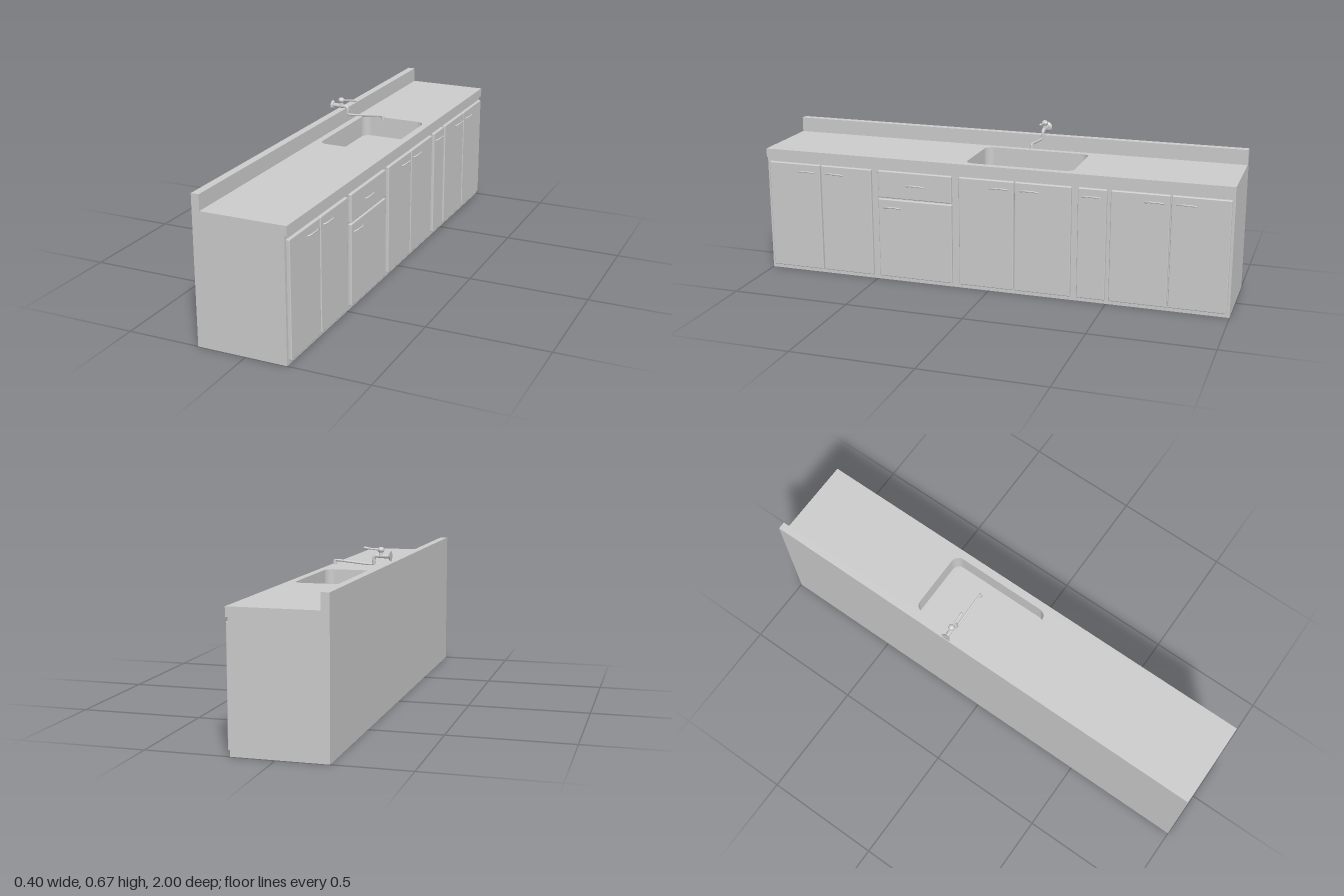
import * as THREE from 'three';
import { RoundedBoxGeometry } from 'three/addons/geometries/RoundedBoxGeometry.js';

const grey = new THREE.MeshStandardMaterial({ color: 0xcccccc });
const V = (x, y, z = 0) => new THREE.Vector3(x, y, z);

function add(parent, name, geometry, x = 0, y = 0, z = 0) {
  const mesh = new THREE.Mesh(geometry, grey);
  mesh.name = name;
  mesh.position.set(x, y, z);
  parent.add(mesh);
  return mesh;
}

// Rectangle with rounded corners, drawn in plan (shape x = x, shape y = -z)
function roundedRect(path, x0, x1, z0, z1, r) {
  const a = -z1, b = -z0;
  path.moveTo(x0 + r, a);
  path.lineTo(x1 - r, a);
  path.absarc(x1 - r, a + r, r, -Math.PI / 2, 0);
  path.lineTo(x1, b - r);
  path.absarc(x1 - r, b - r, r, 0, Math.PI / 2);
  path.lineTo(x0 + r, b);
  path.absarc(x0 + r, b - r, r, Math.PI / 2, Math.PI);
  path.lineTo(x0, a + r);
  path.absarc(x0 + r, a + r, r, Math.PI, Math.PI * 1.5);
  return path;
}

const sink = [-0.14, 0.148, -0.347, 0.109];

// Full-length slab with the sink opening cut through it
function slabWithSink(xFront, height) {
  const shape = new THREE.Shape([
    new THREE.Vector2(-0.2, -1), new THREE.Vector2(xFront, -1),
    new THREE.Vector2(xFront, 1), new THREE.Vector2(-0.2, 1),
  ]);
  shape.holes.push(roundedRect(new THREE.Path(), ...sink, 0.035));
  return new THREE.ExtrudeGeometry(shape, { depth: height, bevelEnabled: false, curveSegments: 8 }).rotateX(-Math.PI / 2);
}

// Bowed pull handle with flattened feet
function addHandle(parent, y, z) {
  const curve = new THREE.CatmullRomCurve3([
    V(0.180, -0.003, -0.04), V(0.187, -0.002, -0.034), V(0.194, 0.002, -0.018),
    V(0.1945, 0.002, 0), V(0.194, 0.002, 0.018), V(0.187, -0.002, 0.034), V(0.180, -0.003, 0.04),
  ]);
  add(parent, 'handle', new THREE.TubeGeometry(curve, 24, 0.0033, 8), 0, y, z);
}

function addFront(parent, name, z0, z1, y0, y1, handleY, handleZ) {
  const front = new THREE.Group();
  front.name = name;
  add(front, name + 'Panel', new RoundedBoxGeometry(0.02, y1 - y0, z1 - z0, 3, 0.004),
    0.173, (y0 + y1) / 2, (z0 + z1) / 2);
  addHandle(front, handleY, handleZ);
  parent.add(front);
}

function createFaucet() {
  const faucet = new THREE.Group();
  faucet.name = 'faucet';
  const cyl = (name, r0, r1, h, x, y, horizontal, sides = 20) => {
    const g = new THREE.CylinderGeometry(r0, r1, h, sides);
    if (horizontal) g.rotateZ(-Math.PI / 2);
    return add(faucet, name, g, x, y);
  };
  cyl('wallFlange', 0.013, 0.021, 0.008, -0.196, 0.631, true);
  cyl('inletNut', 0.0095, 0.0095, 0.014, -0.178, 0.631, true, 6);
  cyl('valveBody', 0.0085, 0.0085, 0.045, -0.17, 0.631, true);
  cyl('valveStem', 0.008, 0.010, 0.018, -0.158, 0.641, false);
  add(faucet, 'valveBulb', new THREE.SphereGeometry(0.0135, 20, 14), -0.158, 0.656).scale.y = 0.92;

  // Lever, swelling into a rounded grip
  const profile = [[0, 0], [0.0045, 0], [0.0035, 0.02], [0.0035, 0.045], [0.0055, 0.06], [0.005, 0.068], [0, 0.072]];
  const lever = add(faucet, 'lever',
    new THREE.LatheGeometry(profile.map(p => new THREE.Vector2(...p)), 14), -0.154, 0.656);
  lever.rotation.z = -Math.PI / 2 + 0.1;

  // Elbow, swivel nut, long spout and outlet
  const elbow = new THREE.CatmullRomCurve3([V(-0.15, 0.631), V(-0.138, 0.631), V(-0.131, 0.626), V(-0.129, 0.617), V(-0.129, 0.604)]);
  add(faucet, 'elbow', new THREE.TubeGeometry(elbow, 20, 0.0068, 14));
  cyl('swivelNut', 0.008, 0.008, 0.012, -0.129, 0.605, false, 8);
  const spout = new THREE.CatmullRomCurve3([V(-0.129, 0.606), V(-0.127, 0.599), V(-0.118, 0.597), V(-0.04, 0.603), V(0.028, 0.609), V(0.037, 0.608), V(0.038, 0.6)], false, 'centripetal');
  add(faucet, 'spout', new THREE.TubeGeometry(spout, 48, 0.0048, 14));
  cyl('outlet', 0.007, 0.008, 0.016, 0.037, 0.6, false);
  faucet.position.z = -0.144;
  return faucet;
}

export function createModel() {
  const model = new THREE.Group();
  model.name = 'kitchenCounter';

  // Cabinet, worktop and backsplash
  add(model, 'cabinetBase', new THREE.BoxGeometry(0.37, 0.018, 2), -0.015, 0.009, 0);
  add(model, 'cabinet', slabWithSink(0.17, 0.482), 0, 0.018, 0);
  add(model, 'worktop', slabWithSink(0.18, 0.038), 0, 0.5, 0);
  add(model, 'backsplash', new THREE.BoxGeometry(0.032, 0.063, 2), -0.184, 0.5695, 0);

  // Sink floor
  const floor = roundedRect(new THREE.Shape(), ...sink, 0.035);
  add(model, 'sinkFloor', new THREE.ExtrudeGeometry(floor, { depth: 0.01, bevelEnabled: false, curveSegments: 8 })
    .rotateX(-Math.PI / 2), 0, 0.438, 0);

  // Doors: z from, z to, handle z
  const doors = [
    [0.751, 0.987, 0.813], [0.515, 0.746, 0.685],
    [-0.111, 0.125, -0.05], [-0.352, -0.116, -0.178],
    [-0.497, -0.379, -0.435],
    [-0.75, -0.513, -0.687], [-0.989, -0.755, -0.815],
  ];
  for (const [z0, z1, hz] of doors) addFront(model, 'door', z0, z1, 0.018, 0.483, 0.45, hz);
  addFront(model, 'drawer', 0.157, 0.484, 0.367, 0.483, 0.428, 0.318);
  addFront(model, 'lowerDoor', 0.157, 0.484, 0.018, 0.361, 0.327, 0.422);

  model.add(createFaucet());
  return model;
}
